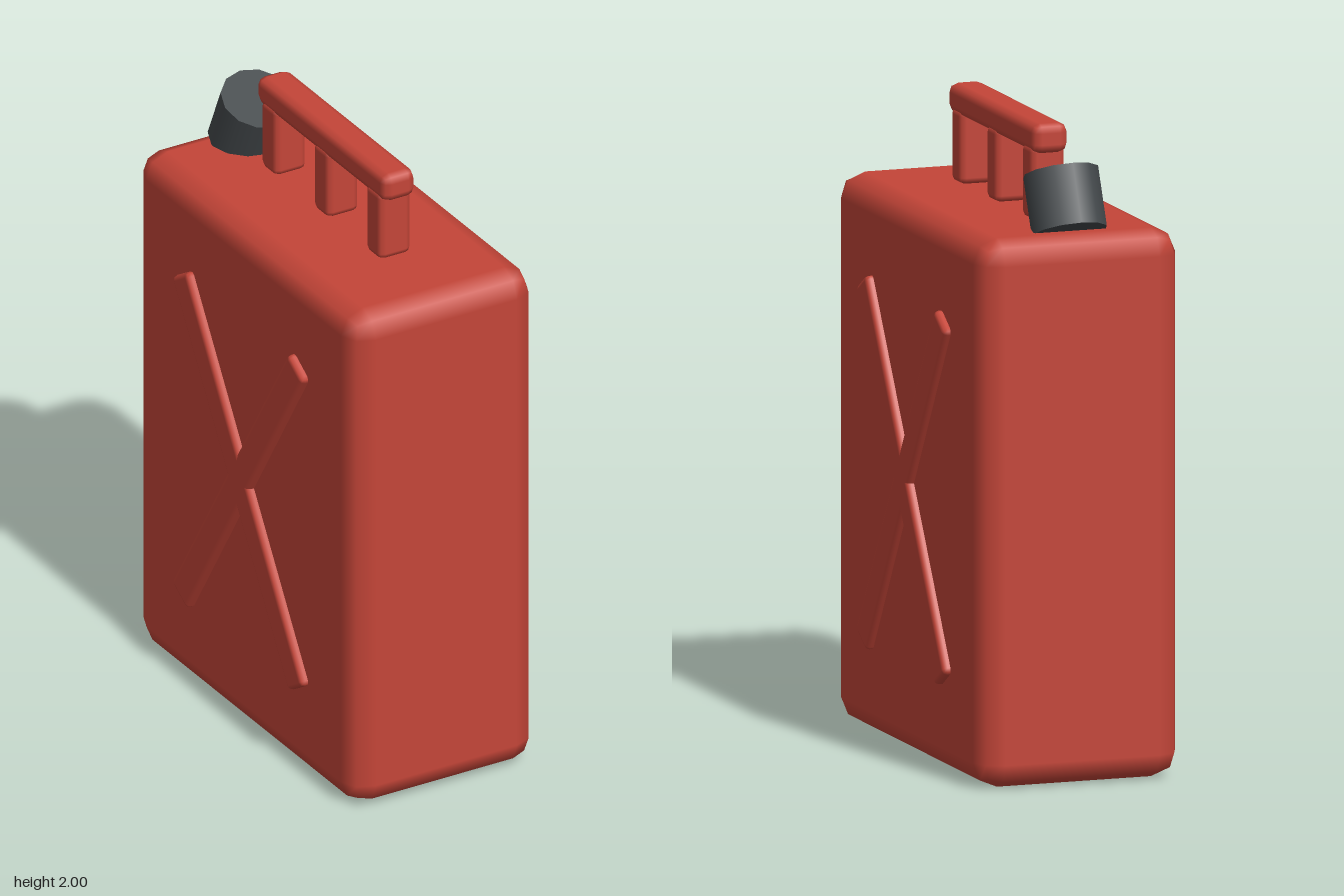
import * as THREE from 'three';
import { RoundedBoxGeometry } from 'three/addons/geometries/RoundedBoxGeometry.js';

export function createModel() {
  const model = new THREE.Group();
  model.name = 'fuelCanister';

  const red = new THREE.MeshStandardMaterial({ color: 0xc44538 });
  red.name = 'red';
  const charcoal = new THREE.MeshStandardMaterial({ color: 0x44494c });
  charcoal.name = 'charcoal';

  const add = (name, geometry, material, x, y, z, tilt = 0) => {
    const mesh = new THREE.Mesh(geometry, material);
    mesh.name = name;
    mesh.position.set(x, y, z);
    mesh.rotation.x = tilt;
    model.add(mesh);
    return mesh;
  };
  // Box whose edges are rounded in two facets
  const rounded = (w, h, d, r) => new RoundedBoxGeometry(w, h, d, 1, r);

  // Tank
  add('body', rounded(0.656, 1.7, 1.31, 0.078), red, 0, 0.85, 0);

  // Crossed ribs standing slightly proud of both broad sides
  const ribTilt = THREE.MathUtils.degToRad(31.8);
  for (const side of [1, -1]) {
    for (const lean of [1, -1]) {
      add(side > 0 ? 'leftRib' : 'rightRib', rounded(0.1, 1.31, 0.106, 0.016), red,
        side * 0.303, 0.853, 0, lean * ribTilt);
    }
  }

  // Handle: three posts and a grip along z
  for (const z of [0.31, 0, -0.31]) {
    add('handlePost', rounded(0.112, 0.23, 0.093, 0.02), red, 0, 1.815, z);
  }
  add('handleGrip', rounded(0.115, 0.092, 0.768, 0.028), red, 0, 1.954, 0);

  // Tilted filler cap behind the handle
  add('cap', new THREE.CylinderGeometry(0.117, 0.117, 0.188, 12), charcoal,
    0, 1.781, -0.5, THREE.MathUtils.degToRad(24));

  return model;
}
